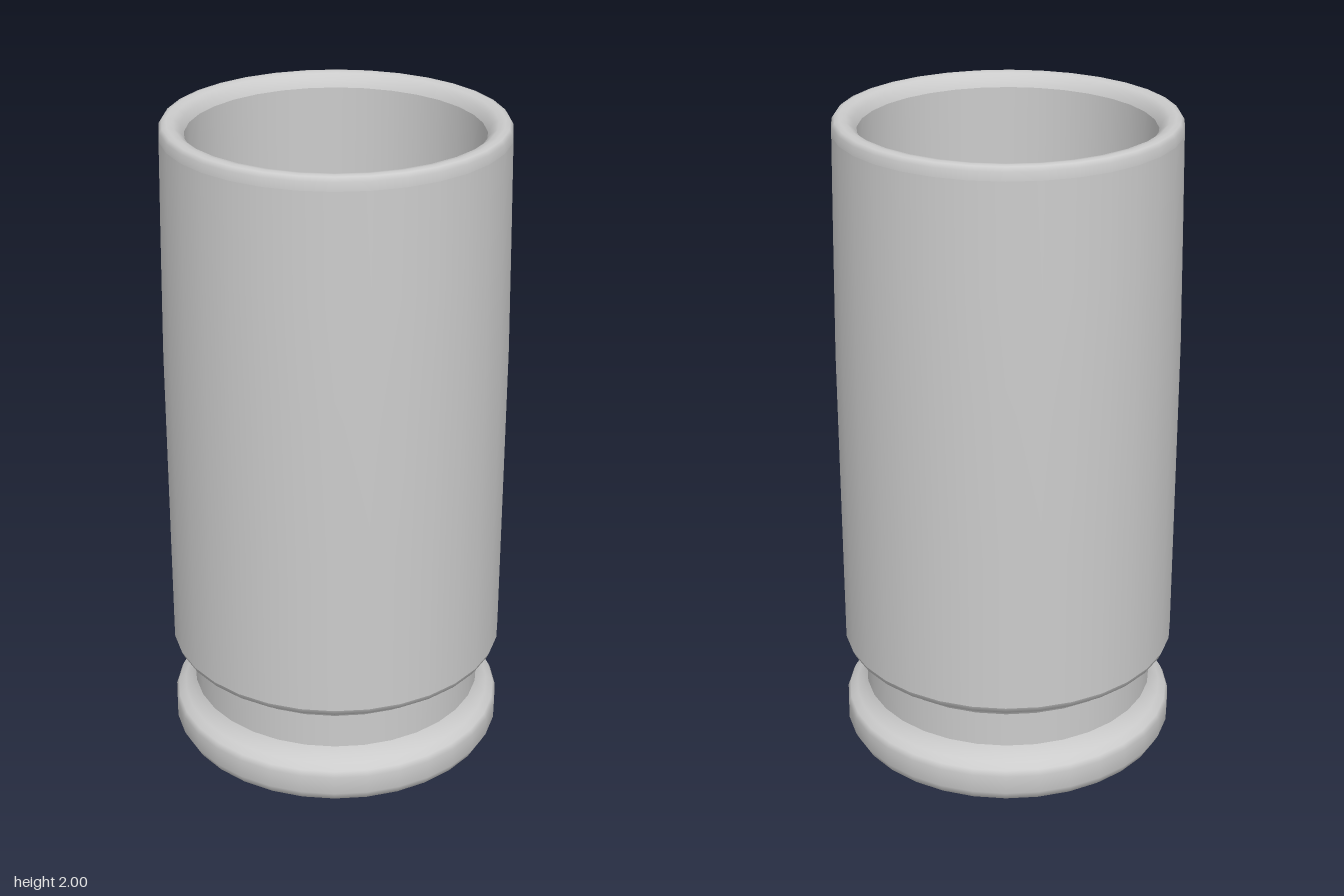
import * as THREE from 'three';

const SIDES = 32;

export function createModel() {
  const group = new THREE.Group();
  group.name = 'cartridgeCase';
  const material = new THREE.MeshStandardMaterial({ color: 0xcccccc });

  // Revolve an [radius, height] profile; separate profiles keep hard edges between them
  const turn = (name, profile) => {
    const points = profile.map(([r, y]) => new THREE.Vector2(r, y));
    const mesh = new THREE.Mesh(new THREE.LatheGeometry(points, SIDES), material);
    mesh.name = name;
    group.add(mesh);
  };

  // Primer: raised disc with a dimpled centre
  turn('primerDimple', [[0, 0.02], [0.09, 0.02]]);
  turn('primerFace', [[0.09, 0.02], [0.11, 0.009], [0.135, 0.001], [0.15, 0], [0.2, 0], [0.215, 0.004], [0.22, 0.014]]);

  // Head: flat underside and rounded extraction rim
  turn('baseFace', [[0.22, 0.014], [0.44, 0.014]]);
  turn('rim', [
    [0.44, 0.014], [0.47, 0.018], [0.495, 0.034], [0.51, 0.062], [0.51, 0.12],
    [0.502, 0.137], [0.48, 0.152], [0.46, 0.168], [0.447, 0.19],
  ]);

  // Extraction groove and the shoulder above it
  turn('groove', [[0.447, 0.19], [0.447, 0.3]]);
  turn('shoulder', [[0.447, 0.3], [0.455, 0.315], [0.48, 0.328], [0.502, 0.342], [0.51, 0.36]]);

  // Slightly tapering wall with a rounded mouth
  turn('wall', [[0.51, 0.36], [0.51, 0.85], [0.51, 1.3], [0.504, 1.65], [0.498, 1.96]]);
  turn('mouth', [
    [0.498, 1.96], [0.496, 1.985], [0.488, 1.997], [0.475, 2],
    [0.455, 1.996], [0.437, 1.983], [0.426, 1.96],
  ]);

  // Hollow interior
  turn('innerWall', [[0.426, 1.96], [0.426, 0.4]]);
  turn('innerFloor', [[0.426, 0.4], [0, 0.4]]);

  return group;
}
